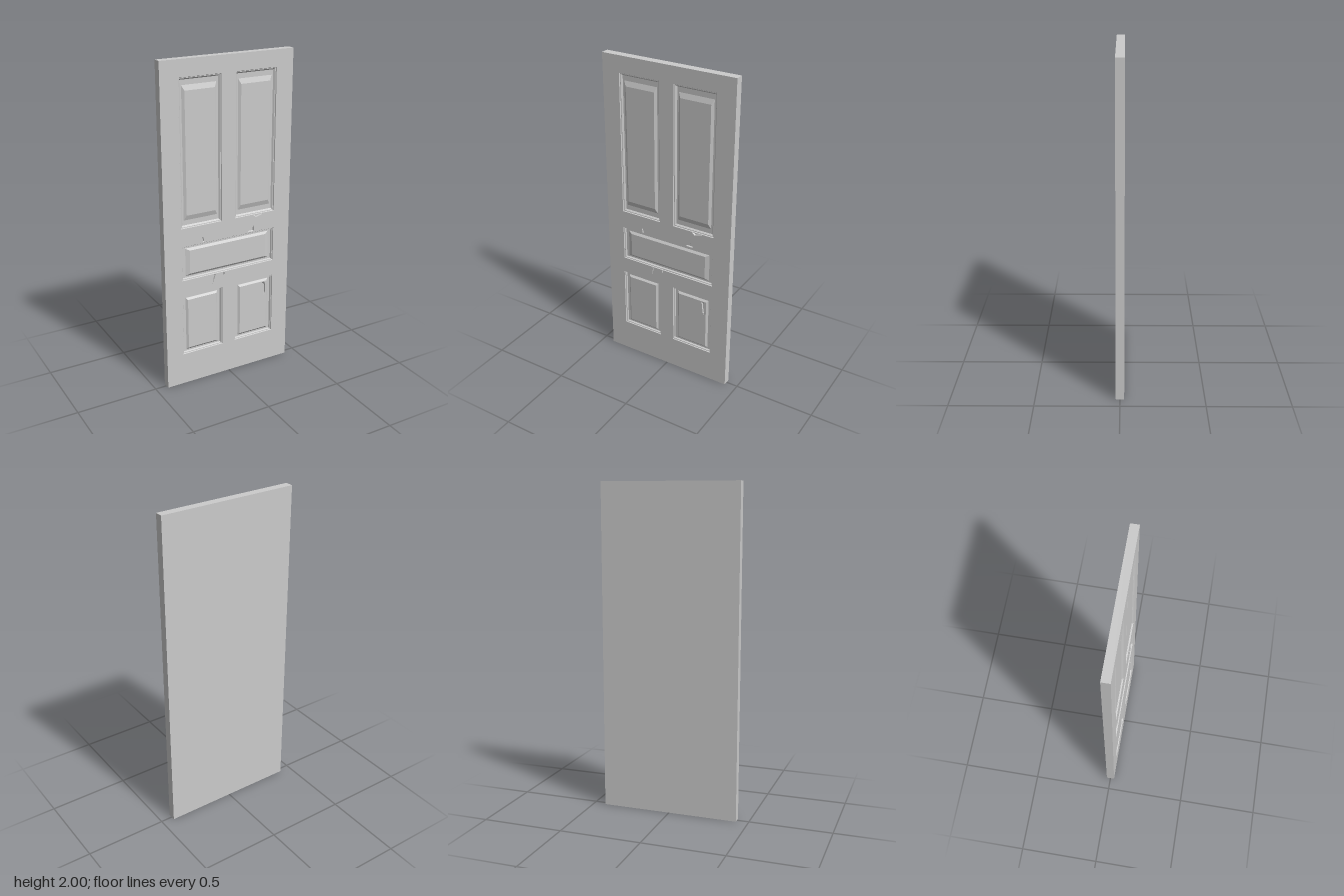
import * as THREE from 'three';

const W = 0.852, H = 2, D = 0.05, FACE = D / 2, FIELD = 0.02;
const material = new THREE.MeshStandardMaterial({ color: 0xcccccc, flatShading: true, side: THREE.DoubleSide });

const rect = (x0, x1, y0, y1) => [[x0, y0], [x1, y0], [x1, y1], [x0, y1]];
const vectors = (pts) => pts.map(([x, y]) => new THREE.Vector2(x, y));

function addMesh(parent, name, geometry) {
  const mesh = new THREE.Mesh(geometry, material);
  mesh.name = name;
  parent.add(mesh);
  return mesh;
}

// Flat sheet facing +z with holes
function sheet(outline, holes, z) {
  const shape = new THREE.Shape(vectors(outline));
  holes.forEach((h) => shape.holes.push(new THREE.Path(vectors(h))));
  return new THREE.ShapeGeometry(shape).translate(0, 0, z);
}

// Bands between successive counter-clockwise loops of [x, y, z]
function bands(loops) {
  const pos = [];
  for (let k = 0; k + 1 < loops.length; k++) {
    const a = loops[k], b = loops[k + 1];
    for (let i = 0; i < a.length; i++) {
      const j = (i + 1) % a.length;
      pos.push(...a[i], ...a[j], ...b[j], ...a[i], ...b[j], ...b[i]);
    }
  }
  const g = new THREE.BufferGeometry();
  g.setAttribute('position', new THREE.Float32BufferAttribute(pos, 3));
  g.computeVertexNormals();
  return g;
}

// Shallow V-shaped pit: the outline shrinks towards its middle as it sinks
function pit(outline, z, depth) {
  const cx = outline.reduce((s, p) => s + p[0], 0) / outline.length;
  const cy = outline.reduce((s, p) => s + p[1], 0) / outline.length;
  const loop = (f, d) => outline.map(([x, y]) => [cx + (x - cx) * f, cy + (y - cy) * f, z - d]);
  return bands([loop(1, 0), loop(0.7, depth), loop(0, depth)]);
}

// Panels: rectangle and [x, y] insets of moulding, gutter and raised field
const tall = [[0.015, 0.015], [0.025, 0.045], [0.04, 0.075]];
const wide = [[0.012, 0.012], [0.03, 0.022], [0.055, 0.036]];
const low = [[0.012, 0.012], [0.028, 0.022], [0.04, 0.034]];
const panels = [
  { name: 'upperLeftPanel', r: [0.043, 0.315, 1.025, 1.9], insets: tall },
  { name: 'upperRightPanel', r: [-0.315, -0.047, 1.025, 1.9], insets: tall },
  { name: 'middlePanel', r: [-0.315, 0.315, 0.695, 0.915], insets: wide },
  { name: 'lowerLeftPanel', r: [0.043, 0.315, 0.203, 0.595], insets: low,
    gouge: [[0.257, 0.46], [0.266, 0.475], [0.266, 0.535], [0.259, 0.556], [0.244, 0.556], [0.249, 0.51]] },
  { name: 'lowerRightPanel', r: [-0.317, -0.045, 0.203, 0.595], insets: low },
];

// Small cracks and chips in the face, counter-clockwise
const chips = [
  [[0.13, 0.919], [0.176, 0.918], [0.174, 0.952], [0.16, 0.938]],
  [[-0.174, 0.918], [-0.166, 0.918], [-0.17, 0.936], [-0.175, 0.954], [-0.178, 0.938]],
  [[-0.113, 0.628], [-0.107, 0.645], [-0.092, 0.685], [-0.092, 0.692], [-0.104, 0.692], [-0.103, 0.675]],
  [[-0.033, 0.662], [-0.03, 0.692], [-0.037, 0.692]],
  [[0.172, 1.02], [0.188, 1.006], [0.215, 1.013], [0.24, 1.019], [0.24, 1.022], [0.172, 1.022]],
];

function addPanel(parent, { name, r, insets, gouge }) {
  const group = new THREE.Group();
  group.name = name;
  parent.add(group);
  const [x0, x1, y0, y1] = r;
  const ring = (ix, iy) => rect(x0 + ix, x1 - ix, y0 + iy, y1 - iy);
  const at = (ix, iy, z) => ring(ix, iy).map(([x, y]) => [x, y, z]);
  const [m, g, f] = insets;
  // Stepped moulding, flat gutter and the bevel up to the field
  addMesh(group, 'moulding', bands([
    at(0, 0, FACE), at(0.003, 0.003, 0.019), at(0.007, 0.007, 0.019),
    at(...m, 0.01), at(...g, 0.01), at(...f, FIELD),
  ]));
  addMesh(group, 'field', sheet(ring(...f), gouge ? [gouge] : [], FIELD));
  if (gouge) addMesh(group, 'gouge', pit(gouge, FIELD, 0.008));
}

export function createModel() {
  const door = new THREE.Group();
  door.name = 'door';

  // Slab with its front side left open
  const slab = new THREE.BoxGeometry(W, H, D).translate(0, H / 2, 0);
  const index = Array.from(slab.index.array);
  index.splice(24, 6);
  slab.setIndex(index);
  slab.clearGroups();
  addMesh(door, 'slab', slab);

  // Front face, pierced for the panels and chips
  const holes = [...panels.map((p) => rect(...p.r)), ...chips];
  addMesh(door, 'frontFace', sheet(rect(-W / 2, W / 2, 0, H), holes, FACE));

  panels.forEach((p) => addPanel(door, p));
  chips.forEach((c, i) => addMesh(door, `chip${i + 1}`, pit(c, FACE, 0.008)));
  return door;
}
